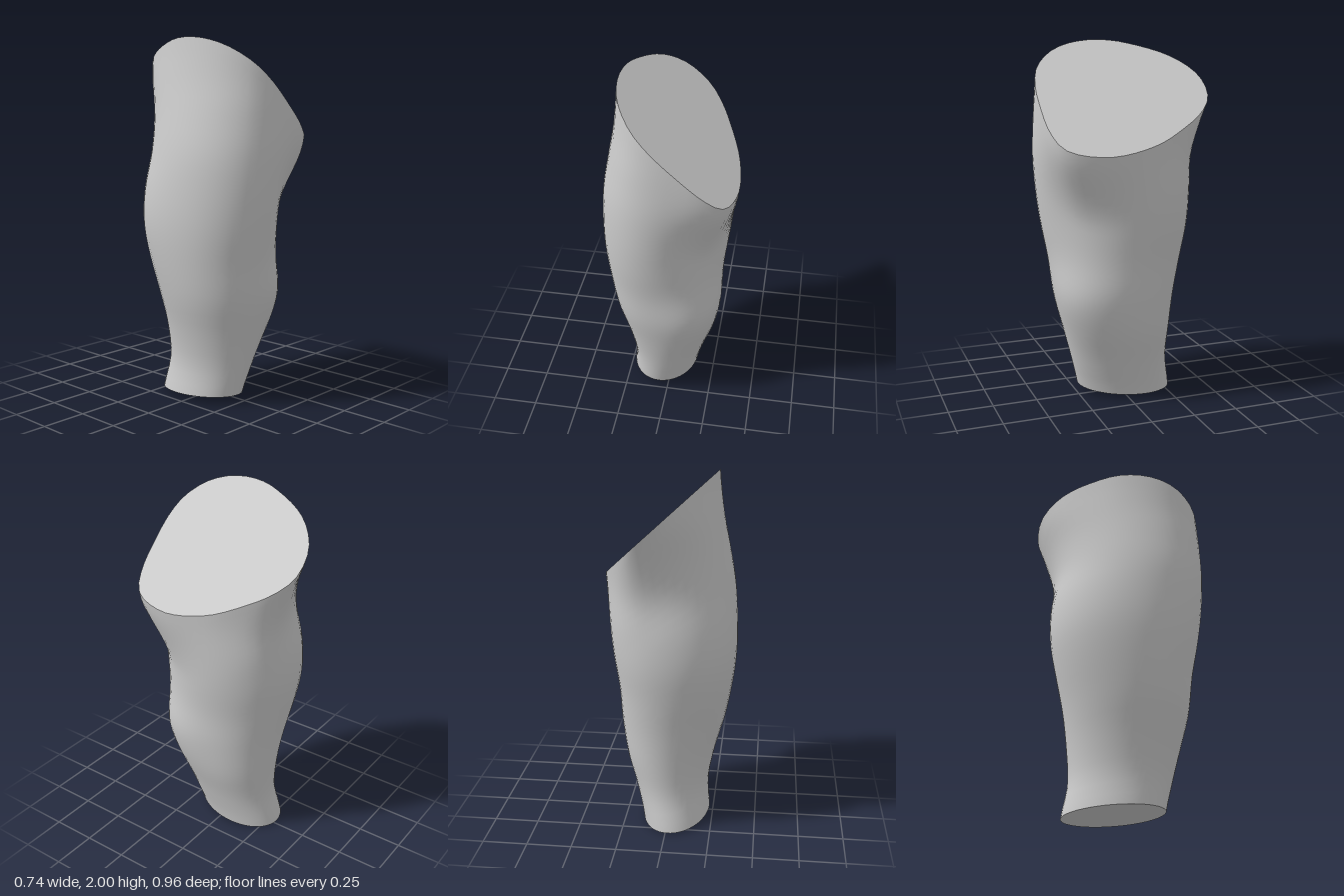
import * as THREE from 'three';

const SEG = 48, RINGS = 32, STEP = 0.2;

// Horizontal sections of the limb every STEP in height: x min, x max, z min, z max
const SECTIONS = [
  [-0.235, 0.145, -0.305, 0.23],
  [-0.22, 0.19, -0.27, 0.275],
  [-0.255, 0.245, -0.28, 0.325],
  [-0.31, 0.272, -0.305, 0.37],
  [-0.345, 0.285, -0.345, 0.395],
  [-0.365, 0.315, -0.38, 0.435],
  [-0.365, 0.34, -0.385, 0.465],
  [-0.35, 0.36, -0.365, 0.48],
  [-0.315, 0.37, -0.40, 0.475],
  [-0.275, 0.37, -0.47, 0.465],
  [-0.25, 0.37, -0.48, 0.465],
];

// Egg-shaped rim of the slanted upper cut, as x, z
const RIM = [
  [0.08, -0.48], [0.15, -0.46], [0.22, -0.38], [0.28, -0.26], [0.34, -0.1], [0.37, 0.1], [0.365, 0.22],
  [0.33, 0.36], [0.29, 0.42], [0.2, 0.46], [0.1, 0.47], [-0.04, 0.465], [-0.13, 0.43], [-0.2, 0.35],
  [-0.24, 0.25], [-0.255, 0.12], [-0.24, -0.03], [-0.2, -0.16], [-0.14, -0.3], [-0.08, -0.39], [0, -0.46],
];

const topPlane = (x, z) => 1.775 - 0.92 * x - 0.09 * z;
const bottomPlane = (x, z) => Math.max(0, 0.028 - 0.06 * x + 0.07 * z);
const bell = (y, centre, width) => Math.exp(-(((y - centre) / width) ** 2));

// Smooth (Catmull-Rom) interpolation between the sections
function sectionAt(y) {
  const last = SECTIONS.length - 1;
  const i = Math.min(last - 1, Math.floor(y / STEP)), t = y / STEP - i;
  const at = n => SECTIONS[THREE.MathUtils.clamp(n, 0, last)];
  const [x0, x1, z0, z1] = [0, 1, 2, 3].map(k => {
    const [a, b, c, d] = [at(i - 1)[k], at(i)[k], at(i + 1)[k], at(i + 2)[k]];
    return b + 0.5 * t * (c - a + t * (2 * a - 5 * b + 4 * c - d + t * (3 * (b - c) + d - a)));
  });
  return { cx: (x0 + x1) / 2, rx: (x1 - x0) / 2, cz: (z0 + z1) / 2, rz: (z1 - z0) / 2 };
}

// Skewed oval; the front left corner swells low and hollows high, the back right one swells midway
function surface(a, y) {
  const s = sectionAt(y);
  const corner = angle => Math.max(0, Math.cos(a - angle)) ** 5;
  const k = 1 + corner(0.8) * (0.19 * bell(y, 0.6, 0.26) - 0.055 * bell(y, 1.2, 0.28))
    + corner(0.8 + Math.PI) * 0.085 * bell(y, 1.0, 0.35);
  return [s.cx + s.rx * k * Math.cos(a), s.cz + s.rz * k * Math.sin(a - 0.1)];
}

function geometry(positions, index) {
  const g = new THREE.BufferGeometry();
  g.setAttribute('position', new THREE.Float32BufferAttribute(positions.flat(), 3));
  g.setIndex(index);
  g.computeVertexNormals();
  return g;
}

// Flat fan that closes a ring
function cap(ring, up) {
  const c = [0, 1, 2].map(k => ring.reduce((sum, p) => sum + p[k], 0) / ring.length);
  const index = [];
  ring.forEach((_, i) => {
    const n = (i + 1) % ring.length;
    index.push(ring.length, up ? n : i, up ? i : n);
  });
  return geometry([...ring, c], index);
}

export function createModel() {
  const group = new THREE.Group();
  group.name = 'thigh';
  const material = new THREE.MeshStandardMaterial({ color: 0xcccccc });
  const add = (name, geo) => {
    const mesh = new THREE.Mesh(geo, material);
    mesh.name = name;
    group.add(mesh);
  };

  const rimCurve = new THREE.CatmullRomCurve3(RIM.map(([x, z]) => new THREE.Vector3(x, topPlane(x, z), z)), true);
  const rim = rimCurve.getSpacedPoints(SEG).slice(0, SEG);

  // Each column runs from the lower cut to its own point on the rim
  const columns = rim.map(p => {
    const a = Math.atan2(p.z / 0.475, (p.x - 0.06) / 0.315);
    const [bx, bz] = surface(a, 0.03);
    const yb = bottomPlane(bx, bz);
    const [ex, ez] = surface(a, p.y);
    return Array.from({ length: RINGS + 1 }, (_, j) => {
      const t = j / RINGS, y = THREE.MathUtils.lerp(yb, p.y, t);
      const [x, z] = surface(a, y);
      const w = THREE.MathUtils.smoothstep(t, 0.7, 1);
      return [x + (p.x - ex) * w, y, z + (p.z - ez) * w];
    });
  });

  // Skin of the limb
  const index = [], row = RINGS + 1;
  for (let i = 0; i < SEG; i++) {
    for (let j = 0; j < RINGS; j++) {
      const a = i * row + j, b = ((i + 1) % SEG) * row + j;
      index.push(a, a + 1, b, b, a + 1, b + 1);
    }
  }
  add('limbSkin', geometry(columns.flat(), index));

  // Cut ends
  add('upperCut', cap(columns.map(c => c[RINGS]), true));
  add('lowerCut', cap(columns.map(c => c[0]), false));
  return group;
}
